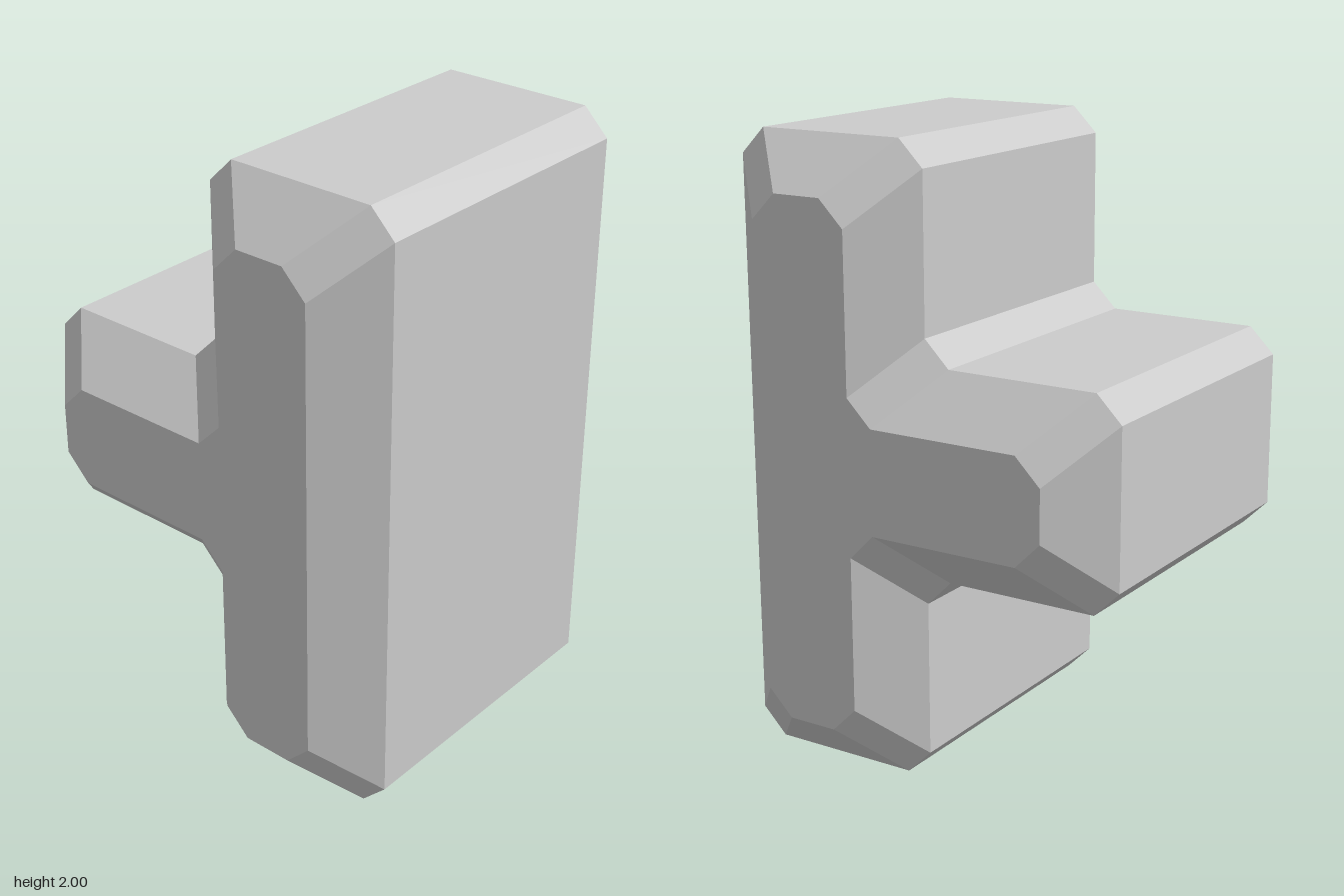
import * as THREE from 'three';

const CHAMFER = 1 / 12;   // cut on every corner of the T outline
const BEVEL = 1 / 6;      // inset and depth of the end bevels

// Sideways T outline, counter-clockwise, moved inwards by d, corners cut
function outline(d) {
  const t = 1 / 3, w = 2 / 3;
  const corners = [
    [d, d], [w - d, d], [w - d, 2 - d], [d, 2 - d],           // upright
    [d, 1 + t - d], [-w + d, 1 + t - d],                      // arm, top
    [-w + d, 1 - t + d], [d, 1 - t + d],                      // arm, underside
  ].map(([x, y]) => new THREE.Vector2(x, y));
  const n = corners.length;
  return corners.flatMap((p, i) =>
    [corners[(i + n - 1) % n], corners[(i + 1) % n]].map((q) =>
      q.clone().sub(p).setLength(CHAMFER).add(p)));
}

// Joins the cross-sections along z and closes both ends
function loft(sections) {
  const pos = [];
  const put = (s, i) => {
    const p = s.points[i % s.points.length];
    pos.push(p.x, p.y, s.z);
  };
  for (let k = 0; k < sections.length - 1; k++) {
    const a = sections[k], b = sections[k + 1];
    for (let i = 0; i < a.points.length; i++) {
      put(a, i); put(a, i + 1); put(b, i + 1);
      put(a, i); put(b, i + 1); put(b, i);
    }
  }
  const back = sections[0], front = sections[sections.length - 1];
  for (const [i, j, k] of THREE.ShapeUtils.triangulateShape(front.points, [])) {
    put(front, i); put(front, j); put(front, k);
    put(back, i); put(back, k); put(back, j);
  }
  const geometry = new THREE.BufferGeometry();
  geometry.setAttribute('position', new THREE.Float32BufferAttribute(pos, 3));
  geometry.computeVertexNormals();
  return geometry;
}

export function createModel() {
  const group = new THREE.Group();
  group.name = 'bevelledTBlock';
  const half = 2 / 3;
  const block = new THREE.Mesh(
    loft([
      { z: -half, points: outline(BEVEL) },
      { z: -half + BEVEL, points: outline(0) },
      { z: half - BEVEL, points: outline(0) },
      { z: half, points: outline(BEVEL) },
    ]),
    new THREE.MeshStandardMaterial({ color: 0xcccccc, flatShading: true }),
  );
  block.name = 'block';
  group.add(block);
  return group;
}
